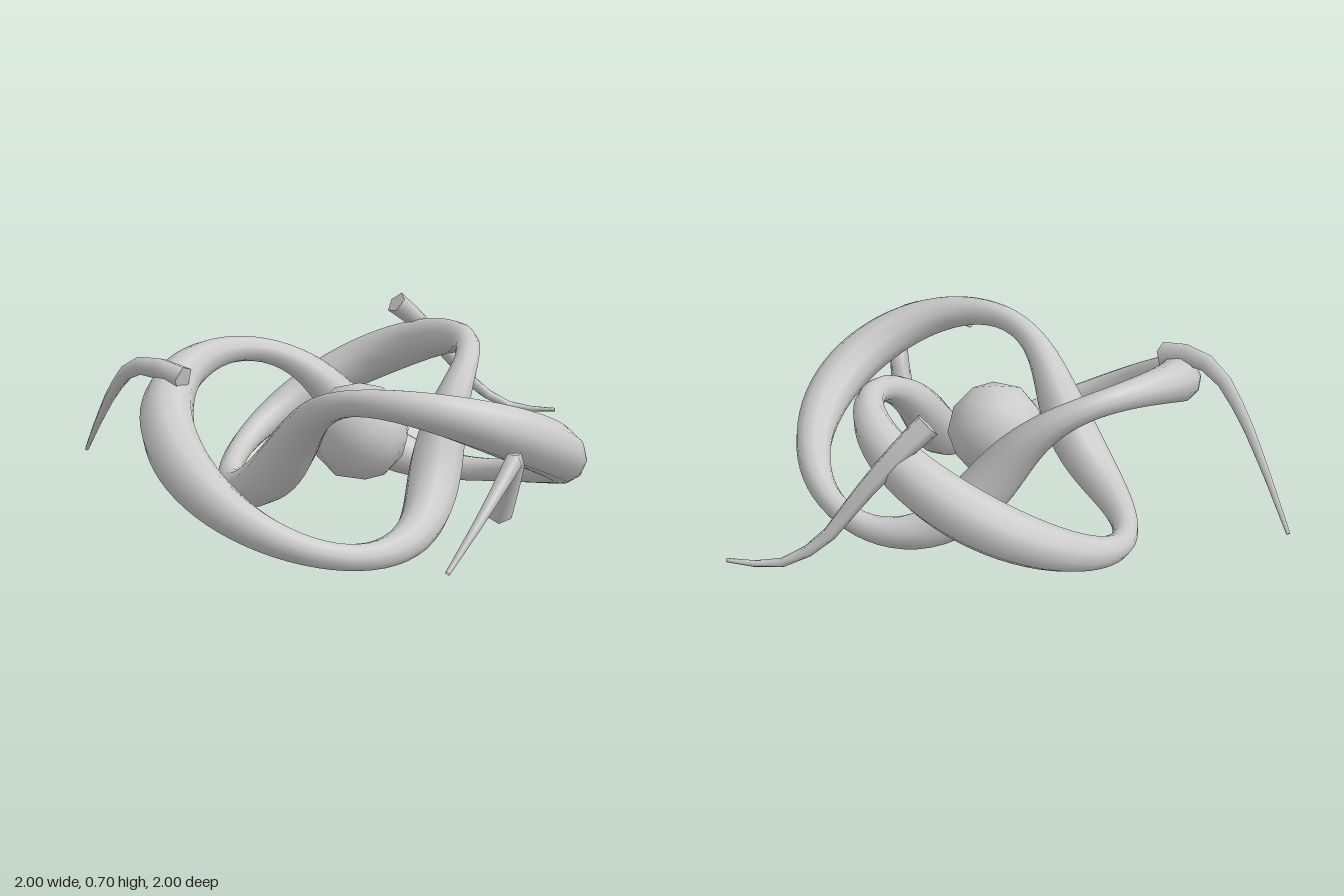
import * as THREE from 'three';

const grey = new THREE.MeshStandardMaterial({ color: 0xcccccc, side: THREE.DoubleSide });
const CENTRE = new THREE.Vector3(0.15, 0.315, 0.02);

// Three-lobed knot path lying flat around the core
class KnotCurve extends THREE.Curve {
  getPoint(t, target = new THREE.Vector3()) {
    const a = t * Math.PI * 2;
    const r = 0.535 + 0.22 * Math.cos(3 * a);
    return target.set(
      r * Math.cos(2 * a), 0.262 * Math.sin(3 * a), r * Math.sin(2 * a)
    ).add(CENTRE);
  }
}

// Tube whose radius follows radiusAt(t) along the curve
function taperedTube(name, curve, segments, sides, radiusAt, closed) {
  const geo = new THREE.TubeGeometry(curve, segments, 1, sides, closed);
  const pos = geo.attributes.position;
  const v = new THREE.Vector3();
  for (let i = 0; i <= segments; i++) {
    const u = i / segments;
    const t = curve.getUtoTmapping(u);
    const c = curve.getPointAt(u);
    for (let j = 0; j <= sides; j++) {
      const k = i * (sides + 1) + j;
      v.fromBufferAttribute(pos, k).sub(c).multiplyScalar(radiusAt(t)).add(c);
      pos.setXYZ(k, v.x, v.y, v.z);
    }
  }
  const mesh = new THREE.Mesh(geo, grey);
  mesh.name = name;
  return mesh;
}

// Curved tentacle: five-sided, tapering from a capped root to a fine tip
function tentacle(name, points) {
  const group = new THREE.Group();
  group.name = name;
  const curve = new THREE.CatmullRomCurve3(points.map(p => new THREE.Vector3(...p)));
  const body = taperedTube(name + 'Body', curve, 9, 5, t => 0.048 - 0.04 * t, false);
  const pos = body.geometry.attributes.position;
  const ring = [0, 1, 2, 3, 4].map(j => new THREE.Vector3().fromBufferAttribute(pos, j));
  const capGeo = new THREE.BufferGeometry().setFromPoints(ring);
  capGeo.setIndex([0, 1, 2, 0, 2, 3, 0, 3, 4]);
  capGeo.computeVertexNormals();
  const cap = new THREE.Mesh(capGeo, grey);
  cap.name = name + 'RootCap';
  group.add(body, cap);
  return group;
}

export function createModel() {
  const model = new THREE.Group();
  model.name = 'knottedCreature';

  // Knotted ring, swelling on the inner and outer stretches
  model.add(taperedTube('knotRing', new KnotCurve(), 180, 10,
    t => 0.072 + 0.025 * Math.cos(12 * Math.PI * t - 0.7), true));

  // Faceted core
  const core = new THREE.Mesh(new THREE.IcosahedronGeometry(0.188, 1), grey);
  core.name = 'core';
  core.position.copy(CENTRE);
  model.add(core);

  // Tentacles, root to tip
  model.add(
    tentacle('rightTentacle', [
      [-0.37, 0.57, 0.42], [-0.48, 0.595, 0.4], [-0.6, 0.575, 0.36],
      [-0.72, 0.47, 0.3], [-0.85, 0.31, 0.21], [-1, 0.12, 0.08]]),
    tentacle('backTentacle', [
      [0.07, 0.665, -0.635], [0.14, 0.58, -0.71], [0.25, 0.43, -0.8],
      [0.36, 0.27, -0.88], [0.5, 0.18, -0.945], [0.68, 0.17, -0.99]]),
    tentacle('leftTentacle', [
      [0.77, 0.2, 0.36], [0.82, 0.37, 0.42], [0.86, 0.465, 0.55],
      [0.86, 0.44, 0.72], [0.83, 0.36, 0.86], [0.78, 0.25, 1]])
  );
  return model;
}
